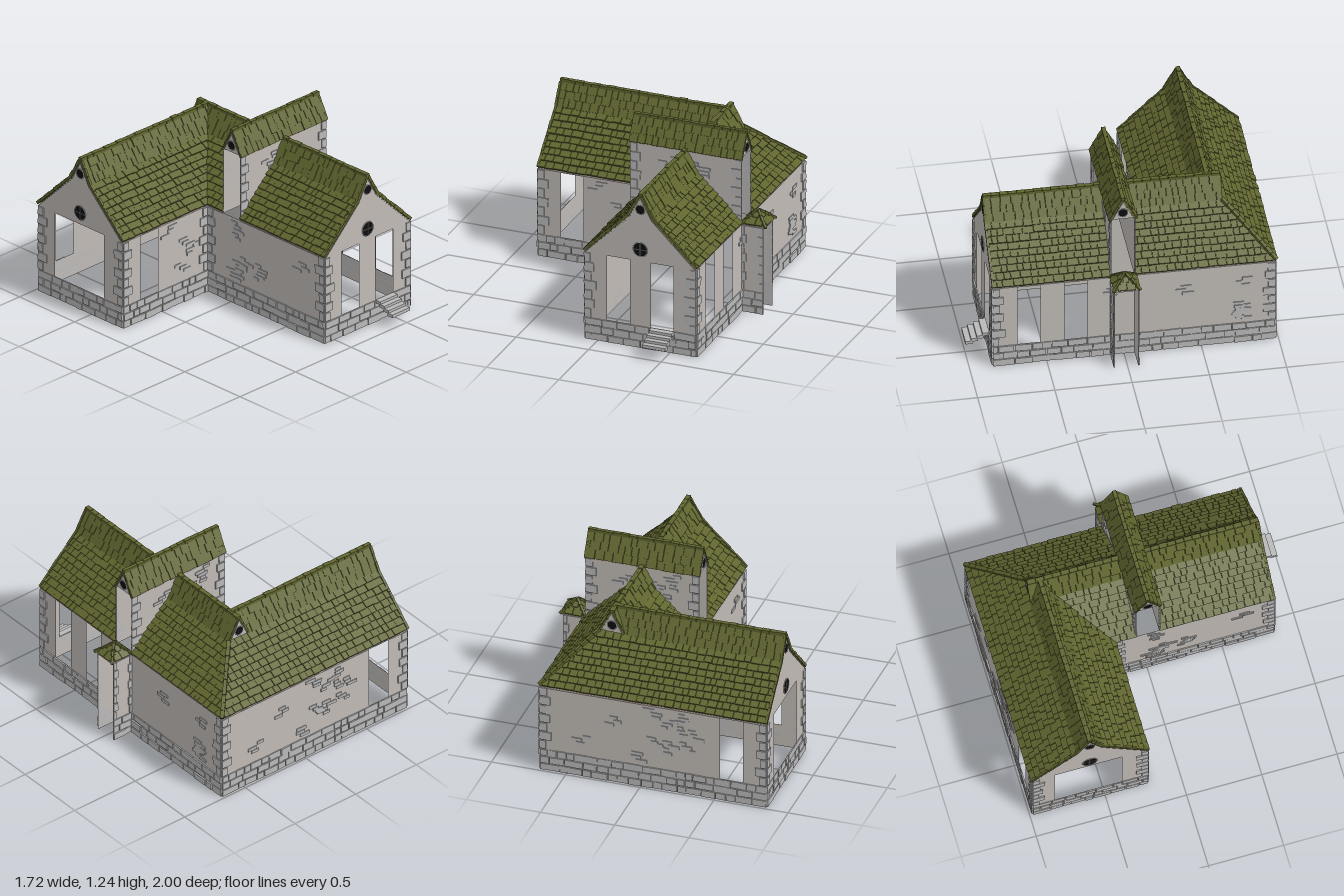
import * as THREE from 'three';
import { mergeGeometries } from 'three/addons/utils/BufferGeometryUtils.js';

const V = (x, y, z) => new THREE.Vector3(x, y, z);
const mat = (name, color) => Object.assign(new THREE.MeshStandardMaterial({ color, side: THREE.DoubleSide }), { name });

export function createModel() {
  const house = new THREE.Group();
  house.name = 'stoneHouse';
  const wallMat = mat('warmPlaster', 0xc1bbb6);
  const stoneMat = mat('stoneGrey', 0xbab9b9);
  const tileMat = mat('mossTile', 0x60652f);
  const liningMat = mat('roofLining', 0xa3948d);
  const glassMat = mat('blackGlass', 0x0c0e0f);
  const barMat = mat('windowBar', 0x6c6c6e);

  let seed = 7;
  const rnd = (a = 0, b = 1) => {
    seed = (seed * 16807) % 2147483647;
    return a + (b - a) * (seed / 2147483647);
  };
  const add = (name, geo, material) => {
    const m = new THREE.Mesh(geo, material);
    m.name = name;
    house.add(m);
    return m;
  };

  const EAVE = 0.61, BASE = 0.155;
  const X0 = -0.848, XM = -0.088, X1 = 0.68, Z0 = -0.98, ZM = -0.213, Z1 = 0.848;
  const RX = 0.295, RZ = -0.6, T0 = -0.068, T1 = 0.082, TZ = 0.007;
  const PROFILE = [[0, 1.06], [0.078, 0.915], [0.384, 0.617]]; // steep top, flared eave

  // ---- Walls: flat sheets with openings, in (u, y) on an x or z plane
  function wall(name, axis, pos, outline, holes = []) {
    const shape = new THREE.Shape(outline.map(p => new THREE.Vector2(...p)));
    for (const [a, b, c, d] of holes)
      shape.holes.push(new THREE.Path([[a, c], [a, d], [b, d], [b, c]].map(p => new THREE.Vector2(...p))));
    const m = add(name, new THREE.ShapeGeometry(shape), wallMat);
    if (axis === 'x') { m.rotation.y = -Math.PI / 2; m.position.x = pos; } else m.position.z = pos;
  }
  const rect = (a, b, c = 0, d = EAVE) => [[a, c], [b, c], [b, d], [a, d]];
  const gable = (a, b, c) => [[a, 0], [b, 0], [b, EAVE], [c + 0.078, 0.915], [c, 1.06], [c - 0.078, 0.915], [a, EAVE]];
  const door = (a, b) => [a, b, BASE, EAVE - 0.003];

  // ---- Raised stonework: blocks on a wall face
  const blocks = [];
  function block(axis, pos, sign, u, y, w, h, out) {
    const c = pos + sign * out / 2;
    const g = axis === 'x' ? new THREE.BoxGeometry(out, h, w) : new THREE.BoxGeometry(w, h, out);
    if (axis === 'x') g.rotateX(rnd(-0.03, 0.03)); else g.rotateZ(rnd(-0.03, 0.03));
    g.translate(axis === 'x' ? c : u, y, axis === 'x' ? u : c);
    blocks.push(g);
  }
  function plinth(axis, pos, sign, a, b) {
    for (let r = 0; r < 3; r++) {
      const h = BASE / 3;
      for (let u = a; u < b - 0.005;) {
        let w = Math.min(rnd(0.05, 0.13), b - u);
        if (b - u - w < 0.03) w = b - u;
        block(axis, pos, sign, u + w / 2, (r + 0.5) * h, w - 0.006, h - rnd(0.004, 0.01), rnd(0.004, 0.011));
        u += w;
      }
    }
  }
  function quoins(axis, pos, sign, edge, dir, y0 = BASE, y1 = EAVE, scale = 1) {
    const n = Math.round((y1 - y0) / 0.065);
    for (let i = 0; i < n; i++) {
      const w = (i % 2 ? 0.075 : 0.045) * scale * rnd(0.85, 1.1), h = (y1 - y0) / n;
      block(axis, pos, sign, edge + dir * w / 2, y0 + (i + 0.5) * h, w, h - 0.008, 0.008);
    }
  }
  function loose(axis, pos, sign, a, b, n, holes = [], y0 = 0.2, y1 = 0.56) {
    for (let i = 0; i < n; i++) {
      const u = rnd(a + 0.14, b - 0.14), y = rnd(y0, y1);
      if (holes.some(h => u > h[0] - 0.09 && u < h[1] + 0.09)) continue;
      for (let k = 0; k < 3; k++)
        block(axis, pos, sign, u + rnd(-0.045, 0.045), y + (k - 1) * 0.026, rnd(0.04, 0.08), 0.021, 0.006);
    }
  }

  const frontDoors = [door(0.063, 0.222), door(0.37, 0.525)];
  const sideDoors = [door(0.235, 0.385), door(0.54, 0.69)];
  const wingDoor = [door(-0.69, -0.535)];
  const endDoor = [door(-0.83, -0.385)];
  const faces = [
    // name, axis, pos, outward sign, from, to, holes, loose clusters, gable centre
    ['frontGableWall', 'z', Z1, 1, XM, X1, frontDoors, 8, RX],
    ['rightWall', 'x', X1, 1, Z0, Z1, sideDoors, 14],
    ['backWall', 'z', Z0, -1, X0, X1, wingDoor, 16],
    ['wingEndWall', 'x', X0, -1, Z0, ZM, endDoor, 6, RZ],
    ['wingFrontWall', 'z', ZM, 1, X0, XM, wingDoor, 8],
    ['innerSideWall', 'x', XM, -1, ZM, Z1, [], 10],
  ];
  for (const [name, axis, pos, sign, a, b, holes, n, c] of faces) {
    wall(name, axis, pos, c === undefined ? rect(a, b) : gable(a, b, c), holes);
    plinth(axis, pos, sign, a, b);
    quoins(axis, pos, sign, a, 1);
    quoins(axis, pos, sign, b, -1);
    loose(axis, pos, sign, a, b, n, holes);
  }

  // ---- Tall cross passage and side turret, both open at their ends
  for (const [side, z, s] of [['Front', T1, 1], ['Back', T0, -1]]) {
    wall('passage' + side + 'Wall', 'z', z, rect(XM, X1, EAVE, 1.07));
    quoins('z', z, s, X1, -1, EAVE, 1.06);
    quoins('z', z, s, XM, 1, EAVE, 1.06);
    loose('z', z, s, XM, X1, 9, [], 0.7, 1.02);
    wall('turret' + side + 'Wall', 'z', z, rect(X1, 0.83));
    plinth('z', z, s, X1, 0.83);
    quoins('z', z, s, 0.83, -1, BASE, EAVE, 0.5);
    quoins('z', z, s, X1, 1, BASE, EAVE, 0.4);
  }
  for (const x of [XM, X1]) wall('passageGable', 'x', x, [[T0, 1.07], [T1, 1.07], [TZ, 1.215]]);
  wall('hipGablet', 'z', -0.68, [[RX - 0.08, 0.91], [RX + 0.08, 0.91], [RX, 1.06]]);
  add('stonework', mergeGeometries(blocks), stoneMat);

  // ---- Floating steps under the right front door
  const steps = [];
  for (let i = 0; i < 4; i++) {
    const g = new THREE.BoxGeometry(0.157, 0.022, 0.045);
    g.translate(0.449, 0.142 - i * 0.018, Z1 + 0.02 + i * 0.037);
    steps.push(g);
  }
  add('frontSteps', mergeGeometries(steps), stoneMat);

  // ---- Round windows
  function roundWindow(x, y, z, r, turn, cross) {
    const g = new THREE.Group();
    g.name = 'roundWindow';
    const part = (name, geo, m, d) => {
      const p = new THREE.Mesh(geo, m);
      p.name = name;
      p.position.z = d;
      g.add(p);
    };
    part('pane', new THREE.CircleGeometry(r, 20), glassMat, 0.004);
    part('surround', new THREE.TorusGeometry(r + 0.002, 0.003, 6, 20), stoneMat, 0.004);
    if (cross) {
      part('crossBar', new THREE.BoxGeometry(r * 2, 0.005, 0.004), barMat, 0.006);
      part('uprightBar', new THREE.BoxGeometry(0.005, r * 2, 0.004), barMat, 0.006);
    }
    g.position.set(x, y, z);
    g.rotation.y = turn;
    house.add(g);
  }
  roundWindow(RX, 0.69, Z1, 0.047, 0, true);
  roundWindow(RX, 0.97, Z1, 0.03, 0);
  roundWindow(X0, 0.69, RZ, 0.047, -Math.PI / 2, true);
  roundWindow(X0, 0.97, RZ, 0.03, -Math.PI / 2);
  roundWindow(X1, 1.12, TZ, 0.029, Math.PI / 2);
  roundWindow(XM, 1.12, TZ, 0.029, -Math.PI / 2);
  roundWindow(RX, 0.97, -0.68, 0.029, Math.PI);

  // ---- Roofs: a sheet per slope, lined below and covered in overlapping tiles
  const tiles = [], linings = [];
  function orientedBox(center, along, down, w, t, l) {
    const x = along.clone().normalize();
    const z = down.clone().normalize();
    const y = z.clone().cross(x).normalize();
    if (y.y < 0) { x.negate(); y.negate(); }
    const g = new THREE.BoxGeometry(w, t, l);
    g.applyMatrix4(new THREE.Matrix4().makeBasis(x, y, z).setPosition(center.clone().addScaledVector(y, t * 0.5)));
    tiles.push(g);
  }
  function slope(name, profile, at, range) {
    const pos = [];
    for (let s = 0; s < profile.length - 1; s++) {
      const [d0, y0] = profile[s], [d1, y1] = profile[s + 1];
      const steep = s === 0;
      const r0 = range(d0, steep), r1 = range(d1, steep);
      const q = [at(r0[0], d0, y0), at(r0[1], d0, y0), at(r1[1], d1, y1), at(r1[0], d1, y1)];
      for (const i of [0, 1, 2, 0, 2, 3]) pos.push(...q[i].toArray());
      const along = at(1, d0, y0).sub(at(0, d0, y0));
      const down = at(0, d1, y1).sub(at(0, d0, y0));
      down.y *= steep ? 0.82 : 0.62; // lift the lower tile edges
      const len = Math.hypot(d1 - d0, y1 - y0), rows = Math.max(2, Math.round(len / 0.05));
      for (let r = 0; r < rows; r++) {
        const t = (r + 0.5) / rows, d = d0 + (d1 - d0) * t, y = y0 + (y1 - y0) * t;
        const [a, b] = range(d, steep);
        for (let u = a; u < b - 0.004;) {
          let w = Math.min(rnd(0.035, 0.075), b - u);
          if (b - u - w < 0.02) w = b - u;
          orientedBox(at(u + w / 2, d, y), along, down, w - 0.003, rnd(0.009, 0.015), len / rows * rnd(1.02, 1.18));
          u += w;
        }
      }
    }
    const g = new THREE.BufferGeometry();
    g.setAttribute('position', new THREE.Float32BufferAttribute(pos, 3));
    g.computeVertexNormals();
    add(name, g, tileMat);
    linings.push(g.clone().translate(0, -0.012, 0));
  }
  function caps(a, b, w, t) { // row of cap tiles from a to b
    const dir = b.clone().sub(a), n = Math.max(1, Math.round(dir.length() / 0.055));
    const across = V(0, 1, 0).cross(dir);
    for (let i = 0; i < n; i++)
      orientedBox(a.clone().addScaledVector(dir, (i + 0.5) / n), across, dir, w * rnd(0.9, 1.1), t * rnd(0.85, 1.1), dir.length() / n - 0.002);
  }

  const GZ = Z1 + 0.005, GX = X0 - 0.005, PX0 = XM - 0.005, PX1 = X1 + 0.006;
  const toRight = (u, d, y) => V(RX + d, y, u), toLeft = (u, d, y) => V(RX - d, y, u);
  const toFront = (u, d, y) => V(u, y, RZ + d), toBack = (u, d, y) => V(u, y, RZ - d);
  slope('frontRoofRight', PROFILE, toRight, () => [T1, GZ]);
  slope('frontRoofLeft', PROFILE, toLeft, () => [T1, GZ]);
  slope('hipRoofRight', PROFILE, toRight, (d, steep) => [steep ? -0.685 : RZ - d, T0]);
  slope('valleyRoofLeft', PROFILE, toLeft, (d, steep) => [steep ? -0.685 : RZ + d, T0]);
  slope('wingRoofFront', PROFILE, toFront, d => [GX, RX - d]);
  slope('wingRoofBack', PROFILE, toBack, (d, steep) => [GX, steep ? RX - d : RX + d]);
  const passage = [[0, 1.215], [0.08, 1.062]];
  slope('passageRoofFront', passage, (u, d, y) => V(u, y, TZ + d), () => [PX0, PX1]);
  slope('passageRoofBack', passage, (u, d, y) => V(u, y, TZ - d), () => [PX0, PX1]);

  // ridges, hip and verges
  caps(V(RX, 1.06, GZ), V(RX, 1.06, T1), 0.03, 0.02);
  caps(V(RX, 1.06, T0), V(RX, 1.06, -0.685), 0.03, 0.02);
  caps(V(GX, 1.06, RZ), V(RX, 1.06, RZ), 0.03, 0.022);
  caps(V(PX0, 1.215, TZ), V(PX1, 1.215, TZ), 0.026, 0.022);
  caps(V(RX + 0.078, 0.918, RZ - 0.078), V(RX + 0.386, 0.62, RZ - 0.386), 0.025, 0.02);
  for (const s of [-1, 1]) {
    for (let i = 0; i < 2; i++) {
      const [d0, y0] = PROFILE[i], [d1, y1] = PROFILE[i + 1];
      caps(V(RX + s * d0, y0, Z1), V(RX + s * d1, y1, Z1), 0.016, 0.02);
      caps(V(X0, y0, RZ + s * d0), V(X0, y1, RZ + s * d1), 0.016, 0.02);
    }
    for (const x of [XM, X1]) caps(V(x, 1.215, TZ), V(x, 1.062, TZ + s * 0.08), 0.014, 0.012);
    caps(V(RX, 1.06, -0.68), V(RX + s * 0.078, 0.915, -0.68), 0.014, 0.014);
  }

  // turret pyramid roof with tiled sides and raised hips
  const CX = 0.762, H = 0.078, pyramid = [[0, 0.685], [H, 0.617]];
  const spread = d => [-d, d];
  slope('turretRoofFront', pyramid, (u, d, y) => V(CX + u, y, TZ + d), spread);
  slope('turretRoofBack', pyramid, (u, d, y) => V(CX + u, y, TZ - d), spread);
  slope('turretRoofRight', pyramid, (u, d, y) => V(CX + d, y, TZ + u), spread);
  slope('turretRoofLeft', pyramid, (u, d, y) => V(CX - d, y, TZ + u), spread);
  for (const sx of [-1, 1]) for (const sz of [-1, 1])
    caps(V(CX, 0.69, TZ), V(CX + sx * 0.086, 0.61, TZ + sz * 0.086), 0.016, 0.018);

  add('roofTiles', mergeGeometries(tiles), tileMat);
  add('roofLining', mergeGeometries(linings), liningMat);
  return house;
}
